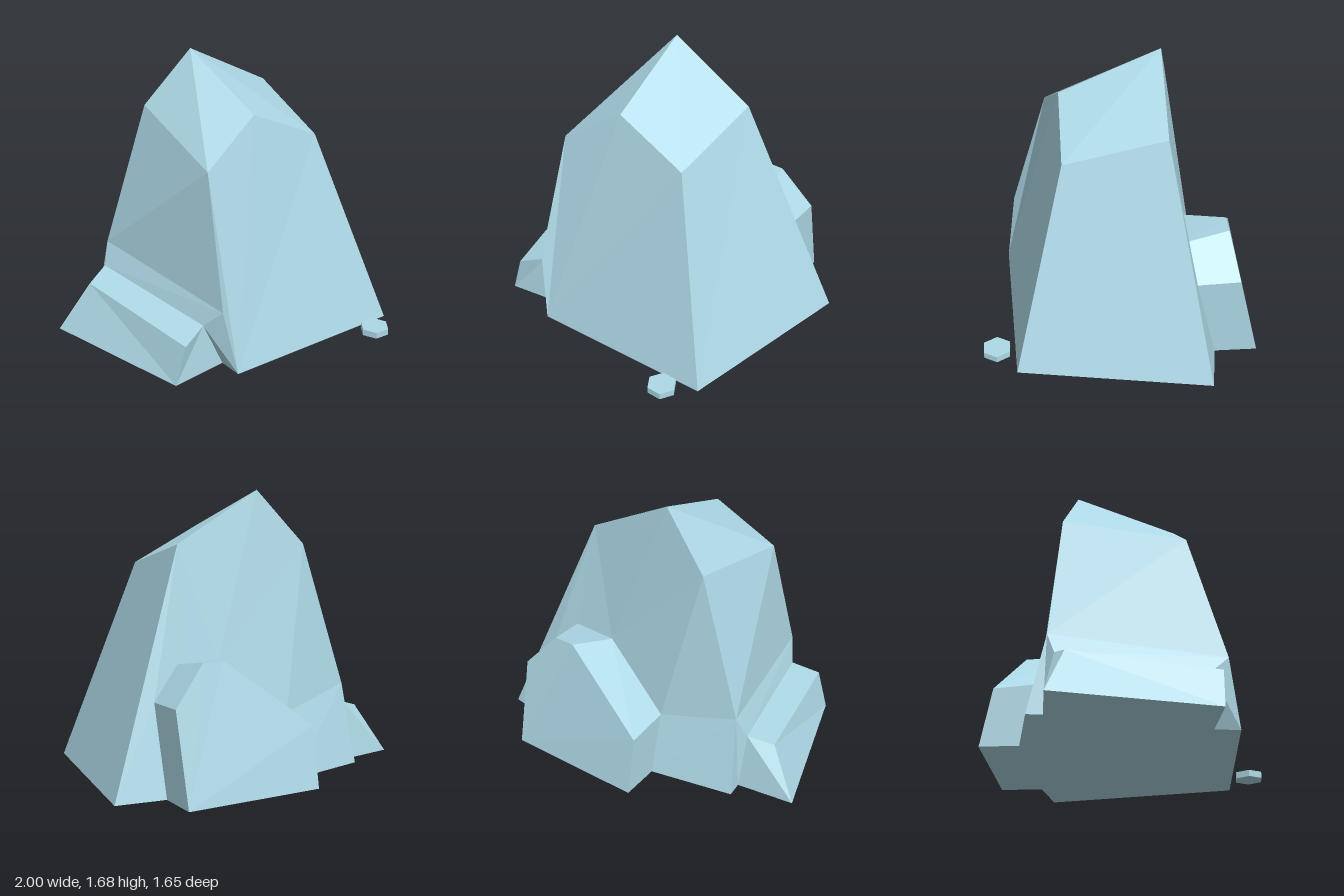
import * as THREE from 'three';

// Corner points, shared where the rocks grow into each other
const corners = {
  // main rock, front outline
  F0: [-0.33, 0, 0.68], F1: [0.81, 0, 0.625], F2: [0.44, 1.23, 0.32],
  F3: [0, 1.445, 0.32], F4: [-0.36, 1.2, 0.4], F5: [-0.4, 0.41, 0.625],
  // main rock, back outline
  A: [1, 0, -0.53], Q: [0.47, 1.39, -0.285], P: [-0.06, 1.685, -0.285],
  L: [-0.35, 1.36, -0.345], N: [-0.62, 0.49, -0.385], B: [-0.66, 0, -0.485],
  // side rock, front and back ends
  S0: [-0.7, 0, 0.59], S1: [-0.63, 0.24, 0.59], S2: [-0.47, 0.295, 0.52], S3: [-0.345, 0, 0.53],
  T0: [-1, 0, -0.34], T1: [-0.815, 0.305, -0.26], T2: [-0.67, 0.355, -0.335], T3: [-0.65, 0, -0.39],
  // back rock, seam with the main rock
  J0: [0.7, 0, -0.576], J1: [0.71, 0.53, -0.45], J2: [0.54, 0.725, -0.41],
  J3: [0.27, 0.72, -0.41], J4: [-0.15, 0.38, -0.49], J5: [-0.15, 0, -0.593],
  // back rock, outer end
  K0: [0.7, 0, -0.83], K1: [0.71, 0.54, -0.705], K2: [0.51, 0.77, -0.652],
  K3: [0.38, 0.77, -0.65], K4: [-0.15, 0.36, -0.76], K5: [-0.15, 0, -0.83],
};

// Flat-faced geometry from polygons named by their corners, each split as a fan
function facets(polygons) {
  const points = [];
  for (const polygon of polygons) {
    const loop = polygon.split(' ').map((key) => new THREE.Vector3(...corners[key]));
    for (let i = 1; i < loop.length - 1; i++) points.push(loop[0], loop[i], loop[i + 1]);
  }
  const geometry = new THREE.BufferGeometry().setFromPoints(points);
  geometry.computeVertexNormals();
  return geometry;
}

export function createModel() {
  const group = new THREE.Group();
  group.name = 'rockCluster';
  const material = new THREE.MeshStandardMaterial({ color: 0xadd8e6, flatShading: true });

  const add = (name, geometry) => {
    const mesh = new THREE.Mesh(geometry, material);
    mesh.name = name;
    group.add(mesh);
    return mesh;
  };

  // Tall central rock with a slanted, ridged top
  add('mainRock', facets([
    'F0 F1 F2 F3 F4 F5', 'F1 A Q F2', // front, left flank
    'F2 Q P F3', 'P L F4 F3', // top
    'F4 L N F5', 'F5 N T2 S2', 'N B T3 T2', 'F0 F5 S2 S3', // right flank
    'A J0 J1 Q', 'Q J1 J2', 'Q J2 J3 P', 'P J3 L', 'L J3 J4 N', 'N J4 J5 B', // back
    'J0 A F1 F0 S3 T3 B J5', // underside
  ]));

  // Low rock leaning on the right flank
  add('sideRock', facets([
    'S0 S3 S2 S1', 'S1 S2 T2 T1', 'S0 S1 T1 T0', 'T0 T1 T2 T3', 'S0 T0 T3 S3',
  ]));

  // Medium rock growing out of the back
  const backSides = [0, 1, 2, 3, 4].map((i) => `J${i} K${i} K${i + 1} J${i + 1}`);
  add('backRock', facets([...backSides, 'K0 K5 K4 K3 K2 K1', 'J0 J5 K5 K0']));

  // Small six-sided pebble in front
  const pebble = add('pebble', new THREE.CylinderGeometry(0.09, 0.09, 0.04, 6));
  pebble.rotation.y = Math.PI / 6;
  pebble.position.set(0.635, 0.03, 0.745);

  return group;
}
